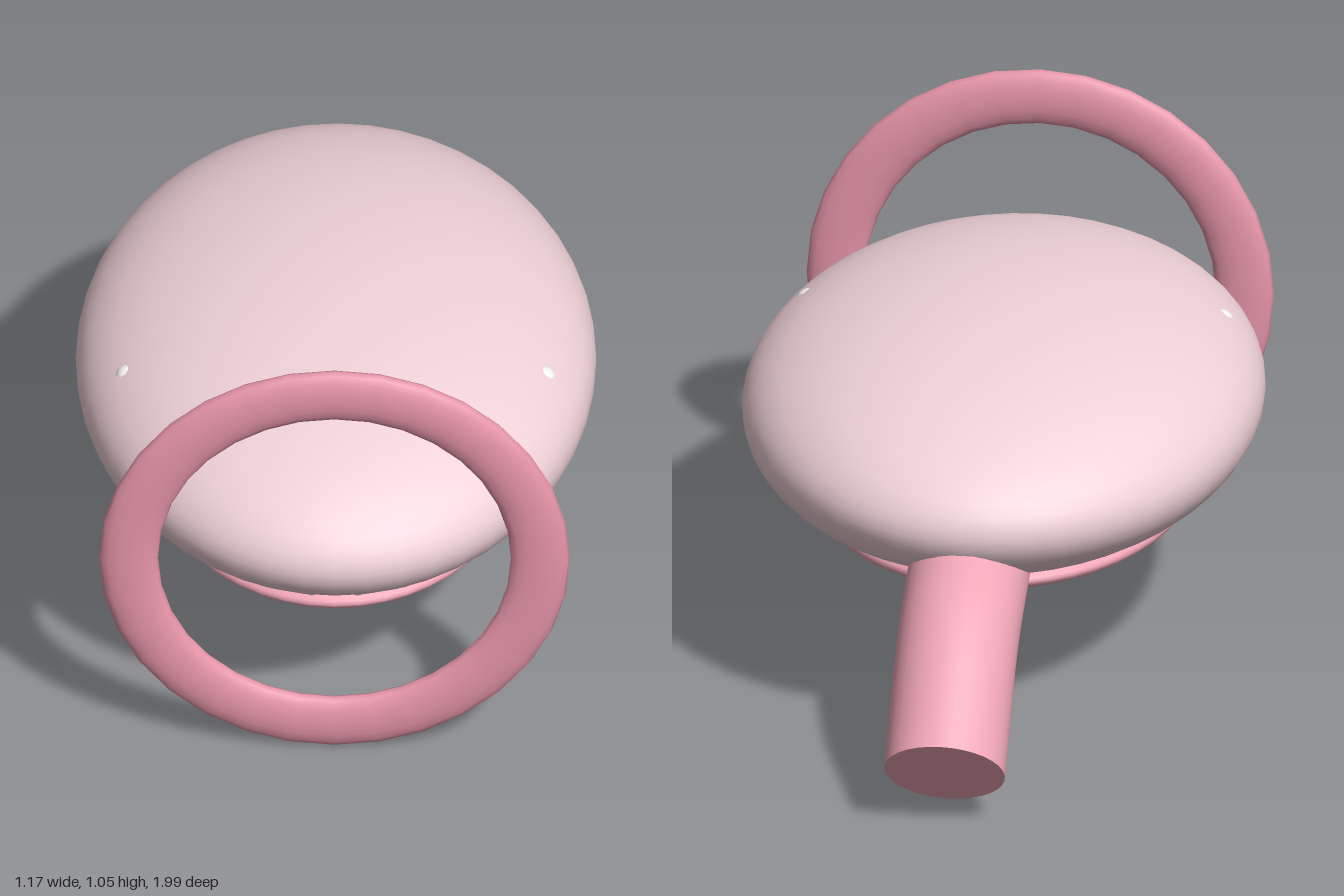
import * as THREE from 'three';

const paint = (color) => new THREE.MeshStandardMaterial({ color });
const bodyPink = paint(0xf0d2d8);
const finPink = paint(0xf0a6b6);
const ringPink = paint(0xe695a8);
const white = paint(0xf4f4ee);

export function createModel() {
  const model = new THREE.Group();

  function add(name, geometry, material, x = 0, y = 0, z = 0) {
    const mesh = new THREE.Mesh(geometry, material);
    mesh.name = name;
    mesh.position.set(x, y, z);
    model.add(mesh);
    return mesh;
  }

  // Upper body and lower jaw: flattened ellipsoids
  const ellipsoid = () => new THREE.SphereGeometry(1, 48, 32);
  add('body', ellipsoid(), bodyPink, 0, 0.565, 0.2).scale.set(0.583, 0.257, 0.796);
  add('lowerJaw', ellipsoid(), finPink, 0, 0.348, 0.235).scale.set(0.43, 0.08, 0.584);

  // Upright ring around the snout, thin front to back
  const ring = add('snoutRing', new THREE.TorusGeometry(0.461, 0.066, 16, 32), ringPink, 0, 0.529, 0.877);
  ring.scale.z = 0.42;

  // Bent tail tube with closed ends
  const path = new THREE.CatmullRomCurve3([
    new THREE.Vector3(0, 0.436, -0.424),
    new THREE.Vector3(0, 0.345, -0.66),
    new THREE.Vector3(0, 0.137, -0.905),
  ]);
  const tailRadius = 0.136;
  add('tail', new THREE.TubeGeometry(path, 20, tailRadius, 32, false), finPink);
  for (const [name, t, sign] of [['tailStartCap', 0, -1], ['tailEndCap', 1, 1]]) {
    const p = path.getPoint(t);
    const cap = add(name, new THREE.CircleGeometry(tailRadius, 32), finPink, p.x, p.y, p.z);
    const outward = path.getTangent(t).multiplyScalar(sign);
    cap.quaternion.setFromUnitVectors(new THREE.Vector3(0, 0, 1), outward);
  }

  // Row of small teeth along the front of the mouth
  const toothGeometry = new THREE.SphereGeometry(0.033, 8, 6);
  const count = 12;
  for (let i = 0; i < count; i++) {
    const a = THREE.MathUtils.degToRad(-70 + (140 * i) / (count - 1));
    add('tooth', toothGeometry, white, 0.462 * Math.sin(a), 0.404, 0.2 + 0.605 * Math.cos(a));
  }

  // Tiny eyes, mostly sunk into the body
  const eyeGeometry = new THREE.SphereGeometry(0.03, 16, 12);
  add('leftEye', eyeGeometry, white, 0.464, 0.674, 0.407);
  add('rightEye', eyeGeometry, white, -0.464, 0.674, 0.407);

  return model;
}
